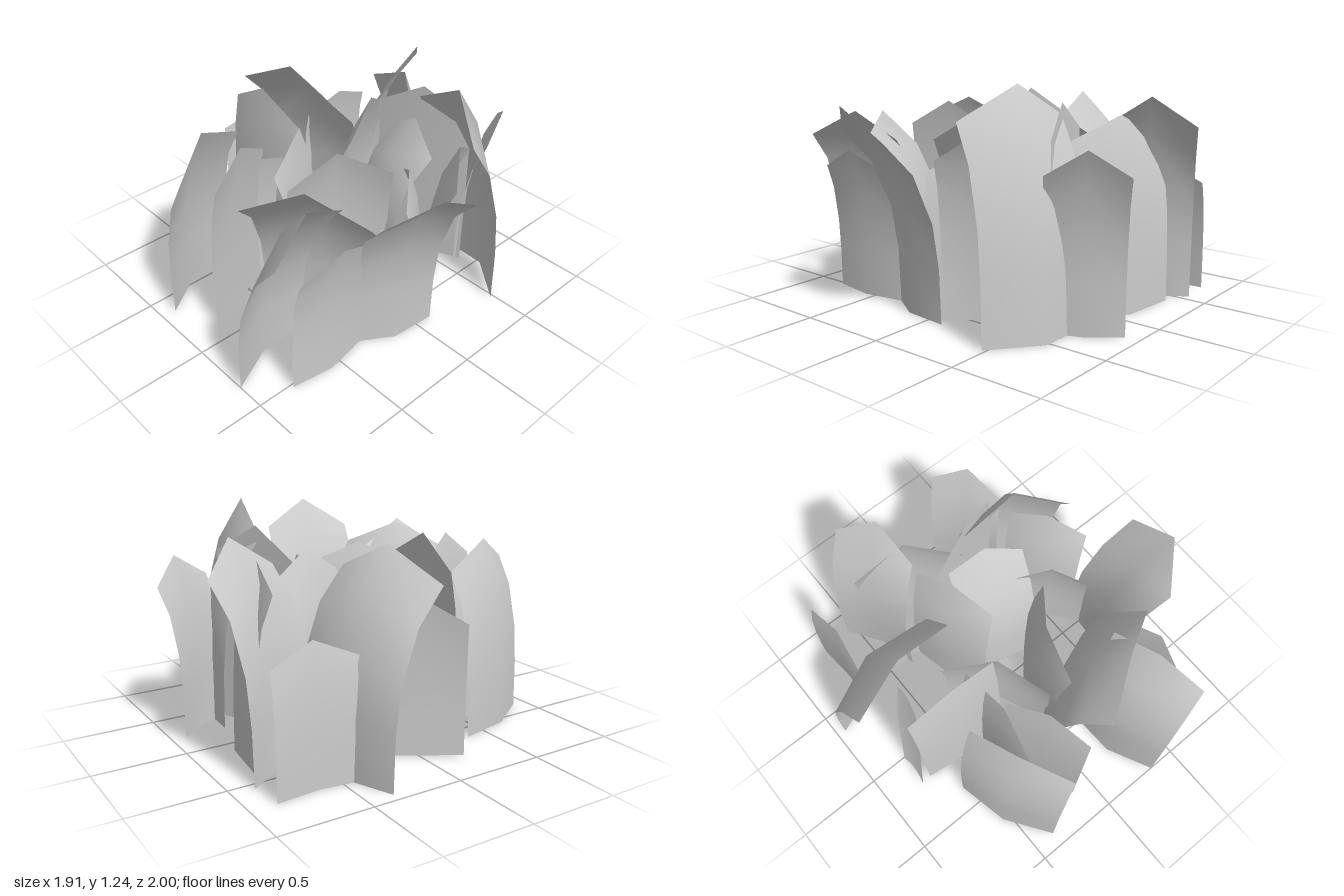
import * as THREE from 'three';

const material = new THREE.MeshStandardMaterial({ color: 0xcccccc, side: THREE.DoubleSide });

// Share of the lean reached at each height, from root to tip
const PROFILE = [[0, 0], [0.3, 0.03], [0.55, 0.14], [0.82, 0.48], [1, 1]];
const BASE_Y = 0.015;

// One broad leaf: root line from (ax, az) to (bx, bz), its middle bowed by
// `bow` towards the lean, tip shifted by (lx, lz), centre rising to `top`
function makeBlade([ax, az, bx, bz, bow, lx, lz, top]) {
  const geometry = new THREE.PlaneGeometry(1, 1, 2, PROFILE.length - 1);
  const pos = geometry.attributes.position;
  const length = Math.hypot(bx - ax, bz - az);
  let nx = -(bz - az) / length, nz = (bx - ax) / length;
  if (nx * lx + nz * lz < 0) { nx = -nx; nz = -nz; }

  for (let i = 0; i < pos.count; i++) {
    const column = i % 3;
    const row = PROFILE.length - 1 - Math.floor(i / 3);
    const [rise, lean] = PROFILE[row];
    const middle = column === 1;
    const u = column / 2;
    const push = lean * (middle ? 1.15 : 1);
    const height = (top - BASE_Y) * (middle ? 1 : 0.86);
    pos.setXYZ(i,
      ax + (bx - ax) * u + (middle ? nx * bow : 0) + lx * push,
      BASE_Y + height * rise,
      az + (bz - az) * u + (middle ? nz * bow : 0) + lz * push);
  }
  geometry.computeVertexNormals();
  return new THREE.Mesh(geometry, material);
}

// Columns: ax, az, bx, bz, bow, lean x, lean z, top
const clumps = {
  frontLeaf: [
    [-0.61, 0.37, -0.37, 0.92, -0.06, 0.13, -0.05, 1.05],
    [-0.33, 0.02, -0.38, 0.63, 0.03, 0.06, 0.0, 0.83],
    [-0.30, 0.36, -0.12, 0.81, 0.0, 0.06, -0.03, 1.05],
    [-0.06, 0.50, 0.50, 0.14, -0.07, 0.17, 0.27, 1.04],
    [0.20, 0.46, 0.34, 1.0, -0.06, 0.25, -0.07, 1.04],
    [0.51, 0.32, 0.52, 0.80, 0.04, 0.08, 0.0, 0.85],
  ],
  middleLeaf: [
    [-0.78, 0.20, -0.57, -0.14, 0.0, -0.03, -0.02, 0.84],
    [-0.72, 0.19, -0.17, 0.19, -0.04, 0.0, -0.06, 1.13],
    [-0.33, -0.10, 0.04, 0.37, -0.09, -0.07, 0.06, 1.0],
    [0.27, -0.11, 0.02, 0.41, -0.08, 0.08, 0.04, 0.99],
    [0.33, -0.29, 0.63, 0.0, -0.03, -0.06, 0.06, 0.9],
    [-0.09, -0.20, 0.32, -0.06, -0.03, 0.08, -0.25, 1.0],
    [0.64, -0.10, 0.48, 0.37, 0.06, 0.30, 0.08, 1.14],
  ],
  backLeaf: [
    [-0.95, -0.36, -0.28, -0.49, -0.07, 0.06, 0.31, 1.12],
    [-0.74, -0.86, -0.75, -0.39, 0.025, 0.045, 0.0, 0.74],
    [0.21, -0.69, 0.77, -0.48, -0.10, -0.07, 0.21, 1.25],
    [-0.55, -0.88, -0.36, -0.45, 0.04, 0.20, -0.11, 1.16],
    [0.20, -0.92, 0.41, -0.56, 0.03, 0.10, -0.08, 0.97],
    [-0.41, -0.81, 0.15, -0.57, -0.09, -0.04, 0.10, 1.06],
    [-0.11, -0.43, 0.41, -0.62, 0.02, 0.0, 0.01, 1.14],
    [-0.28, -0.48, -0.12, -0.02, -0.03, 0.13, -0.07, 1.04],
    [0.37, -0.45, 0.60, -0.07, -0.05, 0.12, -0.07, 1.02],
  ],
};

export function createModel() {
  const model = new THREE.Group();
  model.name = 'leafClump';
  for (const [name, leaves] of Object.entries(clumps)) {
    const group = new THREE.Group();
    group.name = name + 'Group';
    leaves.forEach((leaf, i) => {
      const blade = makeBlade(leaf);
      blade.name = name + (i + 1);
      group.add(blade);
    });
    model.add(group);
  }
  return model;
}
